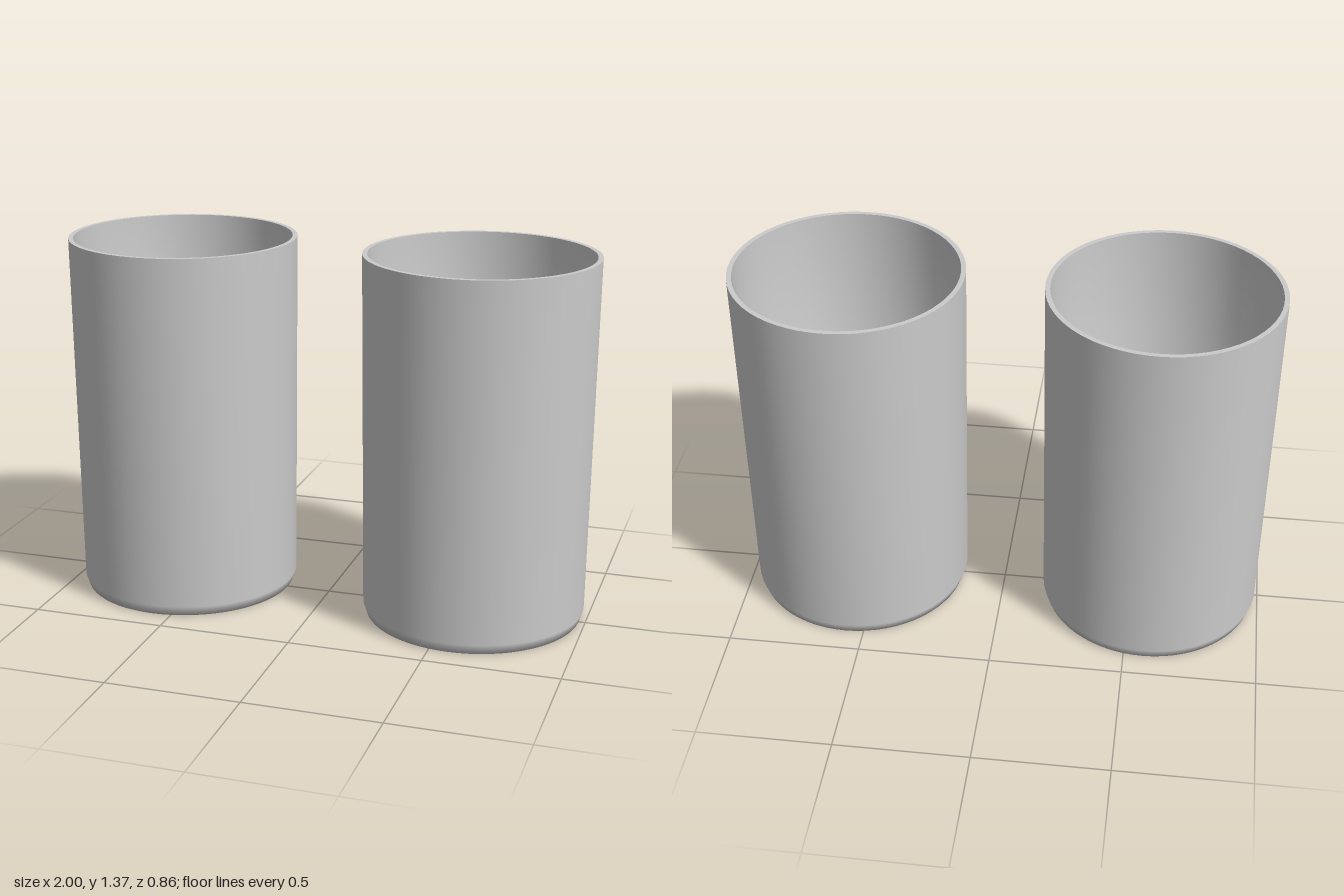
import * as THREE from 'three';

// Closed cup profile: underside, bevel, tapered wall, rim, inner wall, floor.
// Repeated points keep the rim edges sharp.
const PROFILE = [
  [0, 0], [0.403, 0], [0.416, 0.038],
  [0.428, 1.37], [0.428, 1.37],
  [0.41, 1.37], [0.41, 1.37],
  [0.4, 0.035], [0, 0.035],
].map(([r, y]) => new THREE.Vector2(r, y));

export function createModel() {
  const group = new THREE.Group();
  group.name = 'cupPair';
  const material = new THREE.MeshStandardMaterial({ color: 0xcccccc });
  const geometry = new THREE.LatheGeometry(PROFILE, 64);

  // Two identical cups side by side
  for (const [name, side] of [['leftCup', 1], ['rightCup', -1]]) {
    const cup = new THREE.Mesh(geometry, material);
    cup.name = name;
    cup.position.x = side * 0.572;
    group.add(cup);
  }
  return group;
}
